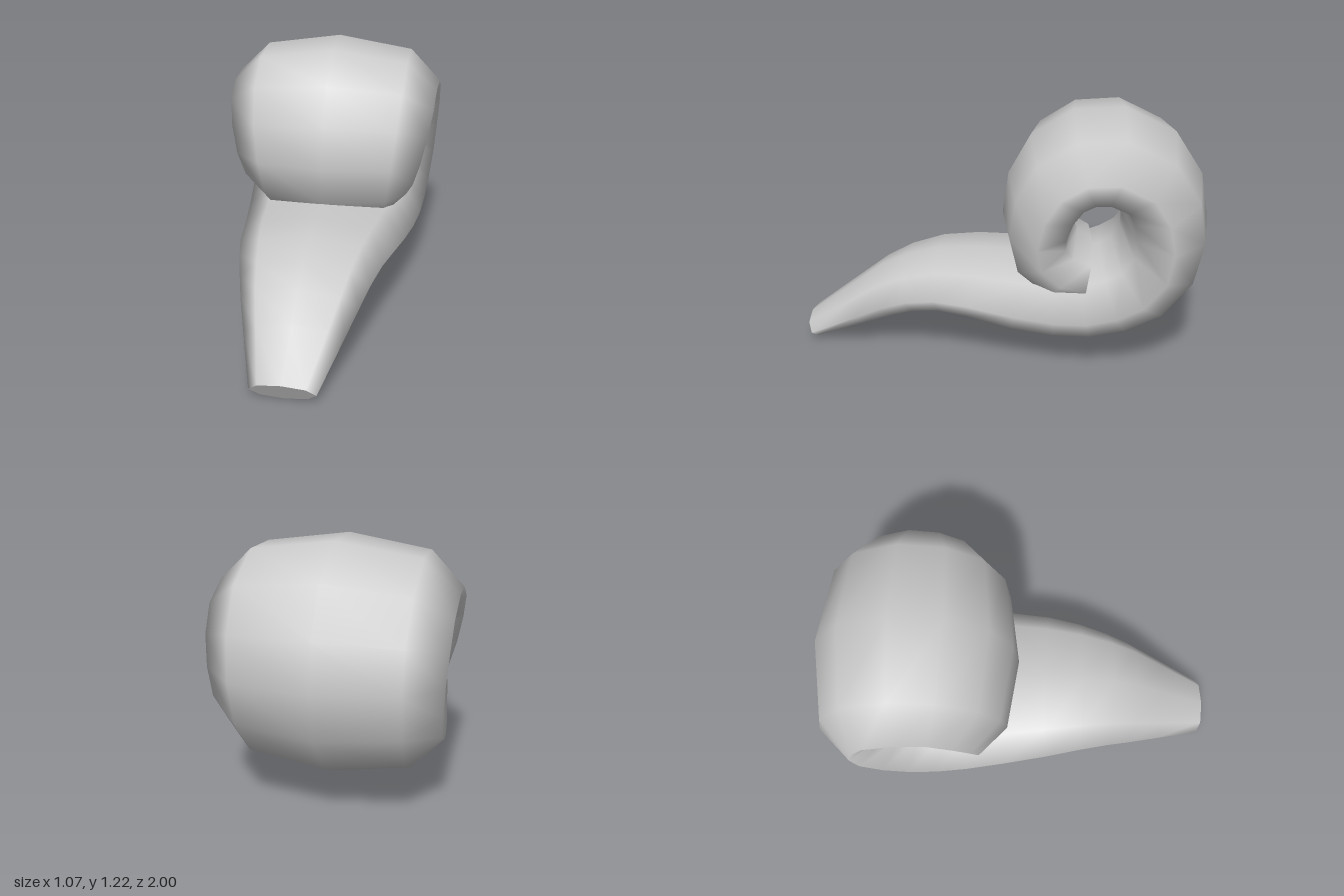
import * as THREE from 'three';

// Stations along the curl: [z, y, half width, half thickness]
const STATIONS = [
  [0.97, 0.055, 0.15, 0.058], [0.725, 0.19, 0.23, 0.093], [0.58, 0.27, 0.277, 0.115],
  [0.46, 0.32, 0.31, 0.125], [0.315, 0.35, 0.347, 0.136], [0.15, 0.347, 0.385, 0.148],
  [-0.07, 0.315, 0.42, 0.17], [-0.26, 0.302, 0.45, 0.178], [-0.41, 0.31, 0.47, 0.185],
  [-0.55, 0.35, 0.485, 0.192], [-0.67, 0.415, 0.495, 0.198], [-0.765, 0.545, 0.51, 0.204],
  [-0.79, 0.69, 0.52, 0.21], [-0.765, 0.83, 0.53, 0.21], [-0.69, 0.95, 0.535, 0.21],
  [-0.54, 1.02, 0.535, 0.212], [-0.395, 1.01, 0.53, 0.21], [-0.28, 0.94, 0.525, 0.205],
  [-0.21, 0.82, 0.505, 0.195], [-0.18, 0.68, 0.475, 0.18], [-0.2, 0.56, 0.44, 0.172],
  [-0.29, 0.465, 0.4, 0.155], [-0.41, 0.43, 0.37, 0.125],
];

// Eight-sided cross-section, as fractions of half width and half thickness
const SECTION = [
  [1, 0], [0.71, 0.73], [0, 1], [-0.71, 0.73],
  [-1, 0], [-0.71, -0.73], [0, -1], [0.71, -0.73],
];
const N = SECTION.length;

// Corners of the cross-section at station i, square to the path
function ring(i) {
  const [z, y, w, t] = STATIONS[i];
  const a = STATIONS[Math.max(i - 1, 0)];
  const b = STATIONS[Math.min(i + 1, STATIONS.length - 1)];
  const dz = b[0] - a[0], dy = b[1] - a[1], len = Math.hypot(dz, dy);
  return SECTION.map(([u, v]) => [u * w, y - (v * t * dz) / len, z + (v * t * dy) / len]);
}

function build(points, index) {
  const g = new THREE.BufferGeometry();
  g.setAttribute('position', new THREE.Float32BufferAttribute(points.flat(), 3));
  g.setIndex(index);
  g.computeVertexNormals();
  return g;
}

// Smooth skin joining all the rings
function skin() {
  const points = [], index = [];
  STATIONS.forEach((_, i) => {
    points.push(...ring(i));
    if (i === 0) return;
    for (let k = 0; k < N; k++) {
      const k2 = (k + 1) % N, p = (i - 1) * N, q = i * N;
      index.push(p + k, q + k, q + k2, p + k, q + k2, p + k2);
    }
  });
  return build(points, index);
}

// Flat end cap
function cap(i, flip) {
  const index = [];
  for (let k = 1; k < N - 1; k++) index.push(0, flip ? k + 1 : k, flip ? k : k + 1);
  return build(ring(i), index);
}

export function createModel() {
  const group = new THREE.Group();
  group.name = 'curledHorn';
  const material = new THREE.MeshStandardMaterial({ color: 0xcccccc });
  const add = (name, geometry) => {
    const mesh = new THREE.Mesh(geometry, material);
    mesh.name = name;
    group.add(mesh);
  };
  add('curledBody', skin());
  add('tipCap', cap(0, false));
  add('innerEndCap', cap(STATIONS.length - 1, true));
  return group;
}
